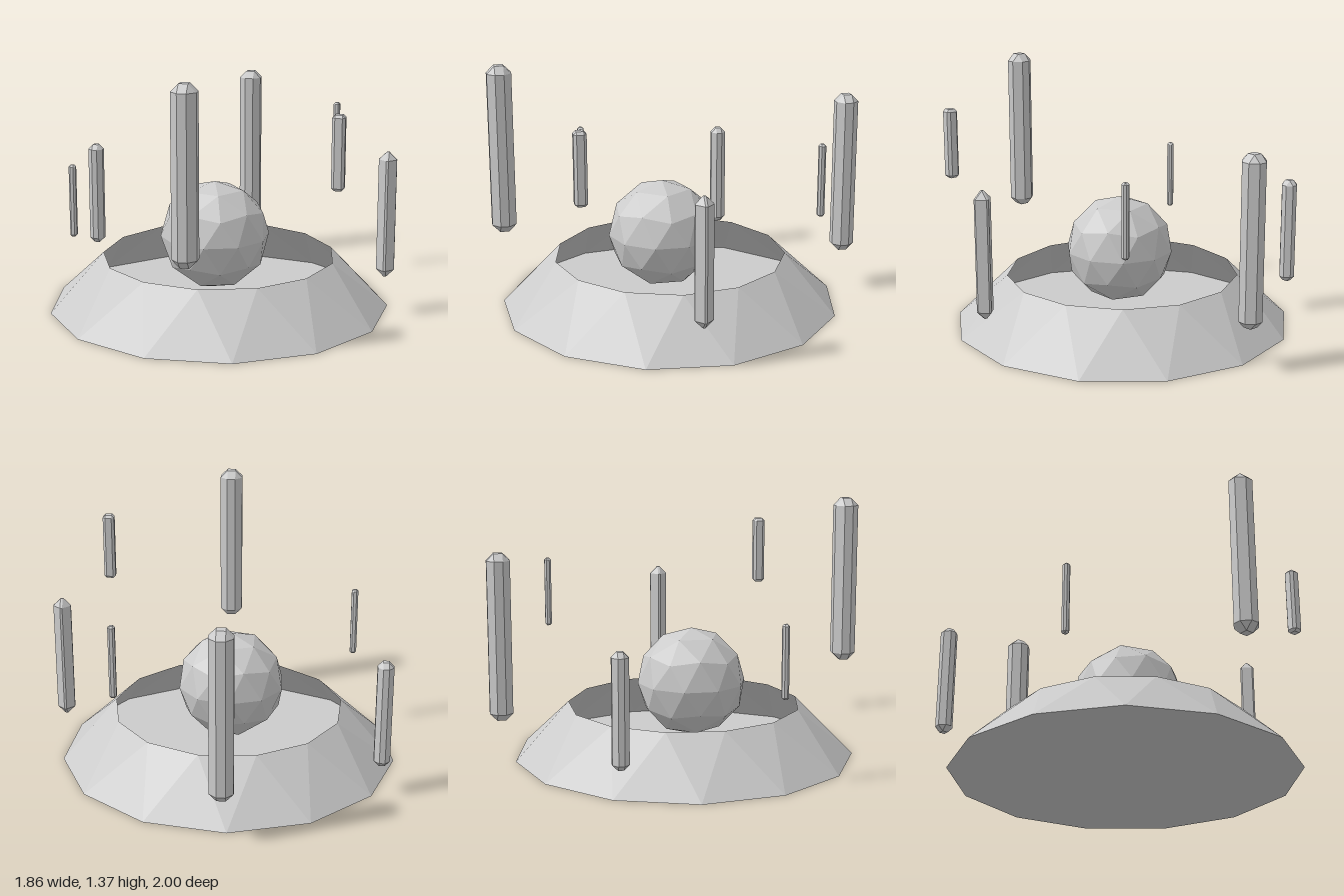
import * as THREE from 'three';
import { ConvexGeometry } from 'three/addons/geometries/ConvexGeometry.js';

const SIDES = 13;
const START = THREE.MathUtils.degToRad(15.7);
const stone = new THREE.MeshStandardMaterial({ color: 0xcccccc, flatShading: true });
const shell = new THREE.MeshStandardMaterial({ color: 0xcccccc, flatShading: true, side: THREE.DoubleSide });

function part(name, geometry, material, x, y, z) {
  const mesh = new THREE.Mesh(geometry, material);
  mesh.name = name;
  mesh.position.set(x, y, z);
  return mesh;
}

// Sloping wall, open at the top, its upper rim turned by half a side
function wallGeometry(top, bottom, height) {
  const indexed = new THREE.CylinderGeometry(top, bottom, height, SIDES, 1, true, START);
  const pos = indexed.attributes.position;
  const v = new THREE.Vector3();
  const up = new THREE.Vector3(0, 1, 0);
  for (let i = 0; i < pos.count; i++) {
    v.fromBufferAttribute(pos, i);
    if (v.y > 0) v.applyAxisAngle(up, -Math.PI / SIDES);
    pos.setXYZ(i, v.x, v.y, v.z);
  }
  const geometry = indexed.toNonIndexed();
  geometry.computeVertexNormals();
  return geometry;
}

// Tall square bar with every edge and corner cut by the bevel
function pillarGeometry(half, height, bevel) {
  const points = [];
  const h = height / 2;
  for (const sx of [-1, 1]) for (const sy of [-1, 1]) for (const sz of [-1, 1]) {
    const add = (x, y, z) => points.push(new THREE.Vector3(sx * x, sy * y, sz * z));
    add(half, h - bevel, half - bevel);
    add(half - bevel, h, half - bevel);
    add(half - bevel, h - bevel, half);
  }
  return new ConvexGeometry(points);
}

export function createModel() {
  const model = new THREE.Group();
  model.name = 'floatingPillarShrine';

  // Hollow base: wall and floor
  const base = new THREE.Group();
  base.name = 'base';
  base.position.set(-0.022, 0, 0.043);
  base.add(part('baseWall', wallGeometry(0.627, 0.915, 0.28), shell, 0, 0.14, 0));
  const floor = new THREE.CircleGeometry(0.915, SIDES, Math.PI / 2 - START).rotateX(Math.PI / 2);
  base.add(part('baseFloor', floor, shell, 0, 0, 0));
  model.add(base);

  // Faceted orb, one vertex straight up, hovering over the floor
  const orb = new THREE.IcosahedronGeometry(0.2925, 1);
  orb.rotateZ(-Math.atan(2 / (1 + Math.sqrt(5))));
  model.add(part('orb', orb, stone, -0.035, 0.4, 0.082));

  // Floating pillars: x, z, bottom, top, half width, bevel
  const pillars = [
    [0.0, 0.937, 0.48, 1.37, 0.063, 0.04],
    [-0.03, -0.94, 0.23, 1.12, 0.061, 0.038],
    [0.877, 0.055, 0.212, 0.888, 0.047, 0.041],
    [-0.84, -0.418, 0.168, 0.75, 0.042, 0.027],
    [0.685, 0.62, 0.813, 1.187, 0.032, 0.014],
    [-0.714, 0.426, 0.447, 0.83, 0.018, 0.01],
    [0.524, -0.634, 0.623, 1.007, 0.018, 0.01],
  ];
  const ring = new THREE.Group();
  ring.name = 'pillars';
  pillars.forEach(([x, z, low, high, half, bevel], i) => {
    const geometry = pillarGeometry(half, high - low, bevel);
    ring.add(part(`pillar${i + 1}`, geometry, stone, x, (low + high) / 2, z));
  });
  model.add(ring);

  return model;
}
